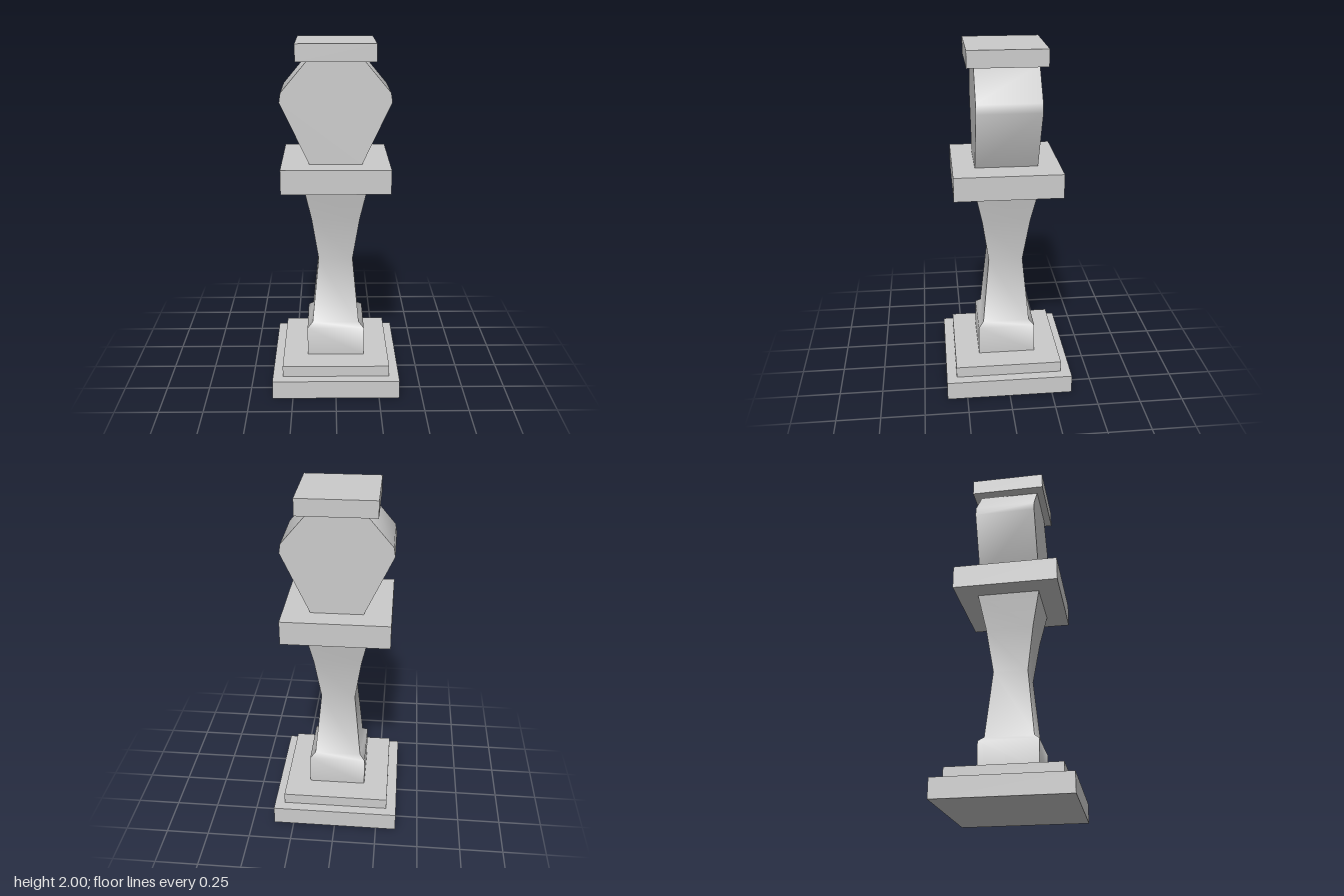
import * as THREE from 'three';
import { toCreasedNormals } from 'three/addons/utils/BufferGeometryUtils.js';

const CREASE = 0.9;

export function createModel() {
  const group = new THREE.Group();
  const material = new THREE.MeshStandardMaterial({ color: 0xcccccc });

  const add = (name, geometry) => {
    const mesh = new THREE.Mesh(geometry, material);
    mesh.name = name;
    group.add(mesh);
    return mesh;
  };

  // Square slab given by half width, bottom and top
  const slab = (name, half, y0, y1) => {
    add(name, new THREE.BoxGeometry(half * 2, y1 - y0, half * 2)).position.y = (y0 + y1) / 2;
  };

  slab('basePlinth', 0.367, 0, 0.11);
  slab('baseStep', 0.309, 0.11, 0.175);
  slab('shaftCapital', 0.298, 1.215, 1.35);
  slab('topCap', 0.214, 1.908, 2);

  // Square waisted shaft: [half width, height], turned with four sides
  const shaftProfile = [
    [0.166, 0.175], [0.166, 0.348], [0.136, 0.375],
    [0.098, 0.765], [0.136, 1.02], [0.177, 1.215],
  ].map(([half, y]) => new THREE.Vector2(half * Math.SQRT2, y));
  add('shaft', toCreasedNormals(
    new THREE.LatheGeometry(shaftProfile, 4, Math.PI / 4), CREASE));

  // Faceted head: right half outline mirrored, extruded front to back
  const half = [[0.145, 1.35], [0.303, 1.69], [0.295, 1.74], [0.153, 1.908]];
  const outline = [...half, ...half.map(([x, y]) => [-x, y]).reverse()]
    .map(([x, y]) => new THREE.Vector2(x, y));
  const depth = 0.348;
  const head = new THREE.ExtrudeGeometry(new THREE.Shape(outline), { depth, bevelEnabled: false });
  head.translate(0, 0, -depth / 2);
  add('head', toCreasedNormals(head, CREASE));

  return group;
}
